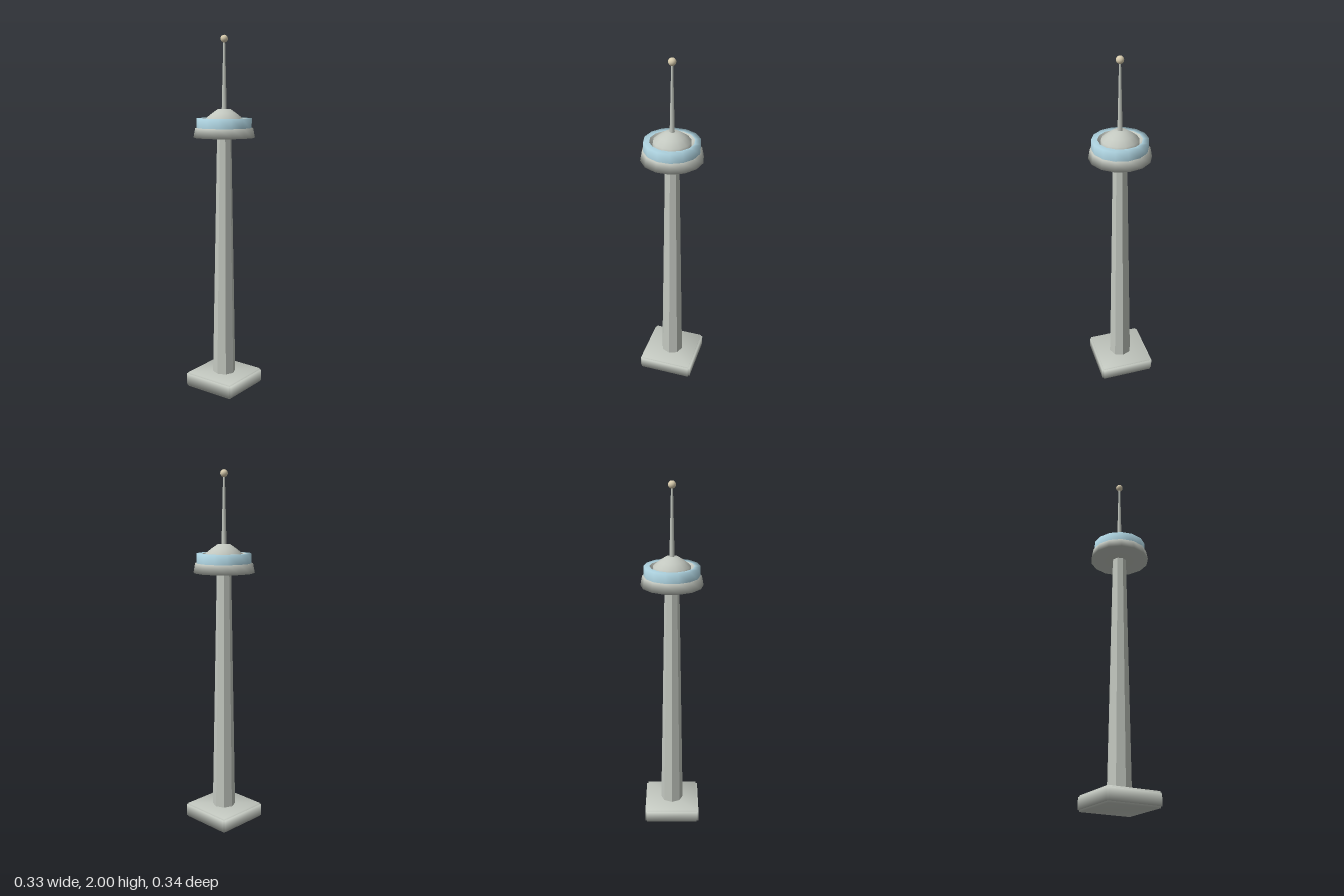
import * as THREE from 'three';
import { mergeVertices } from 'three/addons/utils/BufferGeometryUtils.js';

const SIDES = 14;

// Weld a geometry so its shading runs softly over every edge
function soften(geometry) {
  geometry.deleteAttribute('normal');
  geometry.deleteAttribute('uv');
  const welded = mergeVertices(geometry, 1e-4);
  welded.computeVertexNormals();
  return welded;
}

export function createModel() {
  const concrete = new THREE.MeshStandardMaterial({ color: 0xc3c8c0 });
  concrete.name = 'concrete grey';
  const facet = new THREE.MeshStandardMaterial({ color: 0xc3c8c0, flatShading: true });
  facet.name = 'faceted concrete grey';
  const glass = new THREE.MeshStandardMaterial({ color: 0xadd2df });
  glass.name = 'window blue';
  const beige = new THREE.MeshStandardMaterial({ color: 0xd8ccae });
  beige.name = 'beacon beige';

  const model = new THREE.Group();
  model.name = 'tower';
  const add = (name, geometry, material, y = 0) => {
    const mesh = new THREE.Mesh(geometry, material);
    mesh.name = name;
    mesh.position.y = y;
    model.add(mesh);
    return mesh;
  };
  const lathe = (points) =>
    new THREE.LatheGeometry(points.map(([r, y]) => new THREE.Vector2(r, y)), SIDES);

  // Foundation: crossed slabs giving stepped edges
  const slabs = [[0.32, 0.064, 0.3], [0.3, 0.064, 0.32], [0.3, 0.084, 0.3]];
  slabs.forEach(([w, h, d], i) =>
    add('foundationSlab' + (i + 1), soften(new THREE.BoxGeometry(w, h, d)), concrete, 0.042));

  // Tapered octagonal shaft
  add('shaft', new THREE.CylinderGeometry(0.04, 0.066, 1.38, 8), facet, 0.77);

  // Observation pod: flared floor, window ring, recess and roof dome
  add('podFloor', lathe([[0, 1.45], [0.17, 1.45], [0.16, 1.502], [0.14, 1.502]]), concrete);
  add('windowRing', lathe([[0.152, 1.5], [0.152, 1.555], [0.12, 1.555]]), glass);
  add('roofRecess', lathe([[0.12, 1.555], [0.102, 1.53]]), concrete);
  add('roofDome', lathe([[0.103, 1.53], [0.101, 1.556], [0.068, 1.582], [0.036, 1.604], [0, 1.608]]), concrete);

  // Mast and beacon
  add('mast', new THREE.CylinderGeometry(0.005, 0.014, 0.38, 8), concrete, 1.79);
  add('beacon', new THREE.SphereGeometry(0.0205, 16, 12), beige, 1.9795);

  return model;
}
